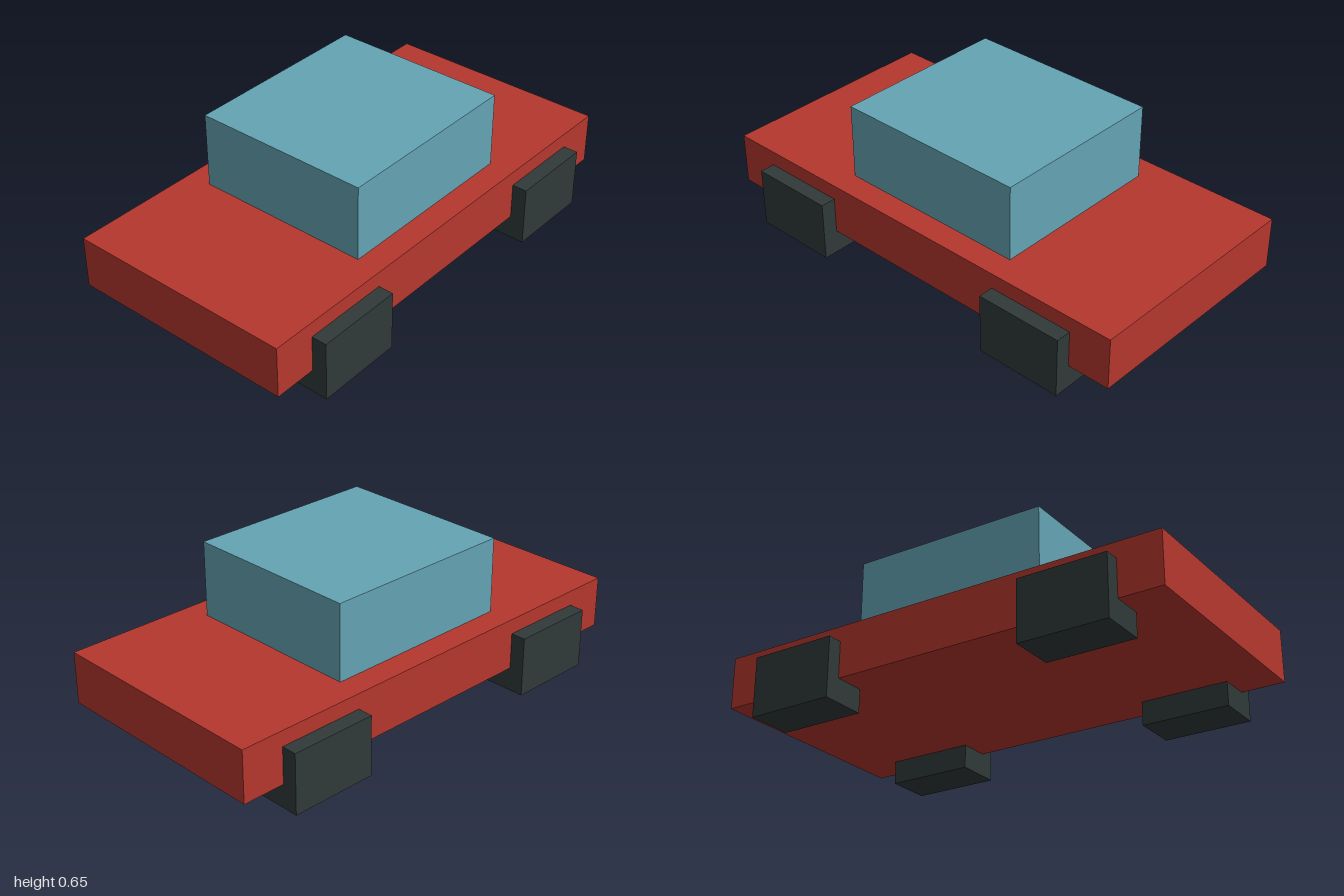
import * as THREE from 'three';

export function createModel() {
  const model = new THREE.Group();
  const material = (name, color) => {
    const m = new THREE.MeshStandardMaterial({ color });
    m.name = name;
    return m;
  };
  const red = material('red paint', 0xb5372e);
  const blue = material('blue glass', 0x64a4b4);
  const black = material('dark rubber', 0x303939);

  // Adds a box whose base is centred at (x, bottom, z)
  const addBox = (name, mat, [w, h, d], [x, bottom, z]) => {
    const mesh = new THREE.Mesh(new THREE.BoxGeometry(w, h, d), mat);
    mesh.name = name;
    mesh.position.set(x, bottom + h / 2, z);
    model.add(mesh);
  };

  // Flat body slab and the cabin on top
  addBox('body', red, [2, 0.224, 1], [0, 0.102, 0]);
  addBox('cabin', blue, [0.852, 0.326, 0.78], [0, 0.326, 0]);

  // Four block wheels, half sunk into the sides of the body
  for (const x of [-1, 1]) {
    for (const z of [-1, 1]) {
      const name = (z > 0 ? 'front' : 'back') + (x > 0 ? 'Left' : 'Right') + 'Wheel';
      addBox(name, black, [0.38, 0.26, 0.2], [x * 0.625, 0, z * 0.466]);
    }
  }
  return model;
}
